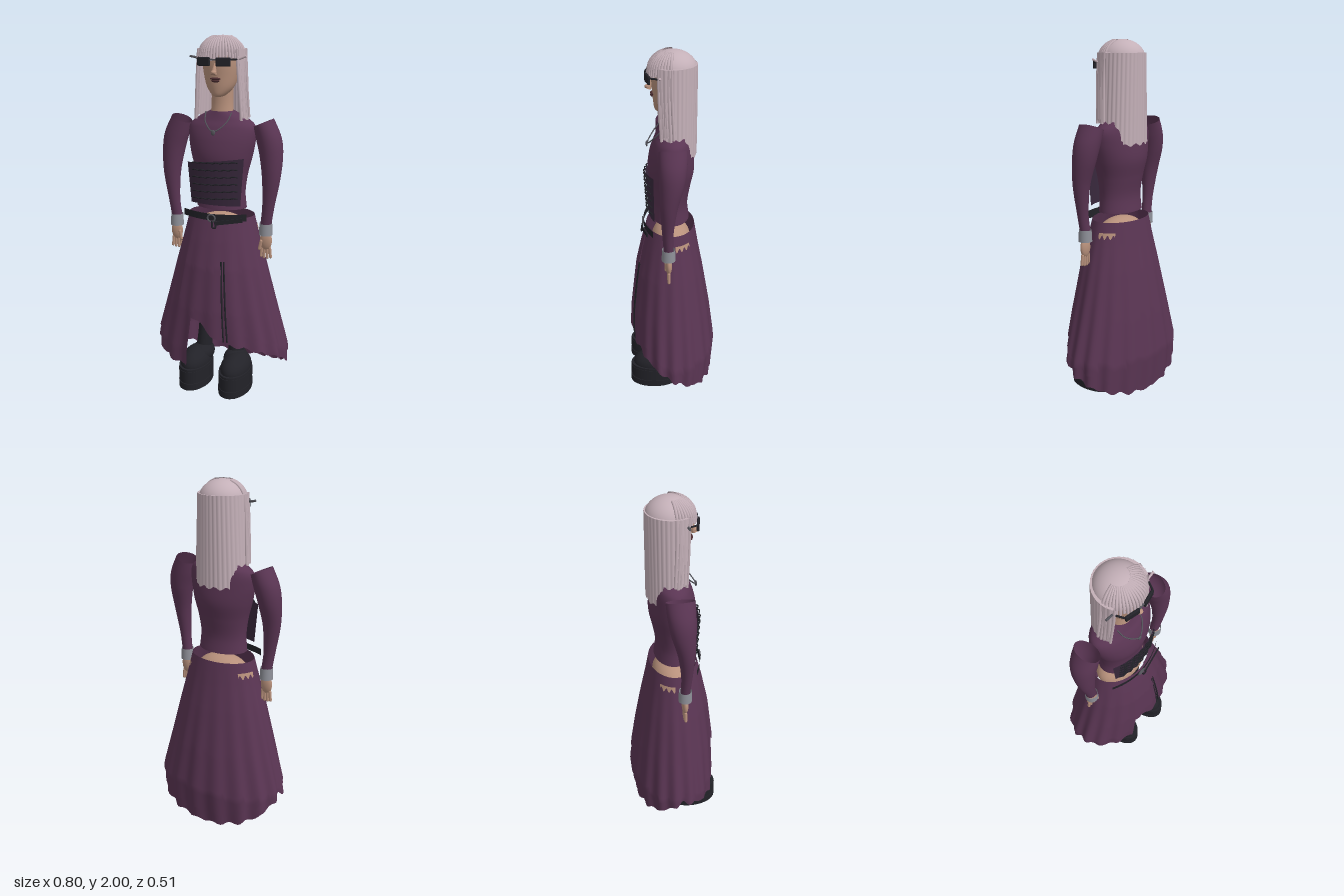
import * as THREE from 'three';
import { ParametricGeometry } from 'three/addons/geometries/ParametricGeometry.js';
import { RoundedBoxGeometry } from 'three/addons/geometries/RoundedBoxGeometry.js';

const paint = (color) => new THREE.MeshStandardMaterial({ color, side: THREE.DoubleSide });
const PURPLE = paint(0x5a3553), CORSET = paint(0x38283c), SKIN = paint(0xb8917c), HAIR = paint(0xc4b0b8);
const BLACK = paint(0x222228), CUFF = paint(0x8e9098), METAL = paint(0x55555c), LIP = paint(0x4a2c30);

// Interpolates a table of rows of equal length: smooth along the row index
function rowAt(rows, t) {
  const f = t * (rows.length - 1), i = Math.max(0, Math.min(Math.floor(f), rows.length - 2)), s = f - i;
  const a = rows[Math.max(i - 1, 0)], b = rows[i], c = rows[i + 1], d = rows[Math.min(i + 2, rows.length - 1)];
  return b.map((_, k) => b[k] + 0.5 * s * (c[k] - a[k] + s * (2 * a[k] - 5 * b[k] + 4 * c[k] - d[k] + s * (3 * (b[k] - c[k]) + d[k] - a[k]))));
}

// Interpolates a table linearly by its first column, which falls
function lookup(rows, y) {
  let i = 0;
  while (i < rows.length - 2 && y < rows[i + 1][0]) i++;
  const s = THREE.MathUtils.clamp((y - rows[i][0]) / (rows[i + 1][0] - rows[i][0]), 0, 1);
  return rows[i].map((v, k) => v + s * (rows[i + 1][k] - v));
}

export function createModel() {
  const root = new THREE.Group();

  function add(name, geometry, material, x = 0, y = 0, z = 0, parent = root) {
    const mesh = new THREE.Mesh(geometry, material);
    mesh.name = name;
    mesh.position.set(x, y, z);
    parent.add(mesh);
    return mesh;
  }
  const surface = (name, material, nu, nv, fn) =>
    add(name, new ParametricGeometry((u, v, p) => p.set(...fn(u, v)), nu, nv), material);
  const tube = (name, material, r, pts, n = 14) =>
    add(name, new THREE.TubeGeometry(new THREE.CatmullRomCurve3(pts.map((p) => new THREE.Vector3(...p))), n, r, 6), material);
  function ball(name, material, x, y, z, rx, ry, rz, parent) {
    const m = add(name, new THREE.SphereGeometry(1, 24, 16), material, x, y, z, parent);
    m.scale.set(rx, ry, rz);
  }
  // Rows from bottom to top: y, centre x, half width, front z, back z, optional rim tilt
  const loft = (name, material, rows, nu = 32, nv = 28) => surface(name, material, nu, nv, (u, v) => {
    const [y, cx, rx, zf, zb, tilt = 0] = rowAt(rows, v), a = u * Math.PI * 2;
    return [cx + rx * Math.sin(a), y + tilt * Math.sin(a), (zf + zb) / 2 + (zf - zb) / 2 * Math.cos(a)];
  });

  // Bodice
  loft('bodice', PURPLE, [
    [1.07, 0, 0.145, 0.105, -0.1], [1.16, 0, 0.138, 0.1, -0.09], [1.26, 0, 0.15, 0.112, -0.105],
    [1.36, 0, 0.175, 0.128, -0.125], [1.45, 0, 0.192, 0.118, -0.12], [1.52, 0, 0.19, 0.095, -0.11],
    [1.56, 0, 0.15, 0.075, -0.1], [1.605, 0, 0.065, 0.06, -0.065],
  ]);

  // Corset panel, with a slanting lace across each row
  const corsetZ = (x, y) => 0.128 + 0.05 * (y - 1.1) - 1.5 * x * x;
  surface('corsetPanel', CORSET, 20, 12, (u, v) => {
    const x = (u - 0.5) * (0.29 + 0.04 * v), y = 1.1 + v * (0.245 + 0.04 * (u - 0.5));
    return [x, y, corsetZ(x, y)];
  });
  for (let i = 0; i < 6; i++) {
    const pts = [];
    for (let k = 0; k <= 12; k++) {
      const x = -0.13 + k * 0.022, y = 1.135 + i * 0.04 + 0.06 * x + (k % 2) * 0.006;
      pts.push([x, y, corsetZ(x, y) + 0.004 + (k % 2) * 0.007]);
    }
    tube('corsetLace', BLACK, 0.0035, pts, 36);
  }

  // Head and neck
  loft('neck', SKIN, [[1.57, 0, 0.066, 0.055, -0.06], [1.65, 0, 0.06, 0.045, -0.055], [1.76, 0, 0.062, 0.045, -0.06]], 24, 8);
  loft('face', SKIN, [
    [1.68, 0, 0.005, 0.06, 0.05], [1.69, 0, 0.035, 0.083, 0], [1.73, 0, 0.072, 0.092, -0.05], [1.79, 0, 0.093, 0.097, -0.08],
    [1.86, 0, 0.104, 0.102, -0.1], [1.92, 0, 0.1, 0.095, -0.1], [1.98, 0, 0.05, 0.05, -0.06],
  ]);
  const nose = add('nose', new THREE.ConeGeometry(0.017, 0.075, 10), SKIN, 0, 1.838, 0.106);
  nose.rotation.x = -0.3;
  ball('noseTip', SKIN, 0, 1.813, 0.118, 0.015, 0.012, 0.018);
  ball('upperLip', LIP, 0, 1.779, 0.096, 0.03, 0.007, 0.012);
  ball('lowerLip', LIP, 0, 1.768, 0.094, 0.024, 0.008, 0.013);

  // Sunglasses
  for (const s of [-1, 1]) {
    const lens = add('lens', new RoundedBoxGeometry(0.078, 0.046, 0.014, 3, 0.006), BLACK, s * 0.055, 1.868, 0.122);
    lens.rotation.y = s * 0.22;
    tube('glassesArm', BLACK, 0.005, [[s * 0.092, 1.88, 0.113], [s * 0.11, 1.88, 0.07], [s * 0.113, 1.875, 0.0]]);
    // Small pin at each temple
    const pin = add('templePin', new THREE.CylinderGeometry(0.006, 0.006, 0.05, 8), s > 0 ? HAIR : METAL, s * 0.135, 1.887, 0.06);
    pin.rotation.z = s > 0 ? -1.2 : 1.4;
  }
  add('glassesBridge', new THREE.BoxGeometry(0.04, 0.008, 0.008), METAL, 0, 1.879, 0.128);

  // Hair: crown, fringe, long curtain and loose strands
  const crown = add('hairCrown', new THREE.SphereGeometry(1, 36, 16, 0, Math.PI * 2, 0, Math.PI * 0.5), HAIR, 0, 1.9, -0.01);
  crown.scale.set(0.122, 0.1, 0.125);
  for (let i = 0; i <= 22; i++) {
    const a = -1.45 + i * 0.132, s = Math.sin(a), c = Math.cos(a), pts = [];
    for (let k = 0; k < 5; k++) {
      const p = 0.4 + k * 0.28;
      pts.push([0.124 * s * Math.sin(p), 1.9 + 0.1 * Math.cos(p), -0.01 + 0.127 * c * Math.sin(p)]);
    }
    pts.push([0.127 * s, 1.878 + 0.008 * Math.sin(i * 2.3), -0.01 + 0.13 * c]);
    tube('fringeStrand', HAIR, 0.008, pts);
  }
  surface('hairCurtain', HAIR, 72, 20, (u, v) => {
    const a = 1.1 + u * (Math.PI * 2 - 2.2), back = THREE.MathUtils.smoothstep(-Math.cos(a), 0.45, 0.65);
    const low = 1.57 - 0.12 * back + 0.008 * Math.sin(u * 60), y = low + v * (1.93 - low);
    const wave = 1 + 0.012 * Math.sin(u * 150);
    return [(0.132 + 0.022 * (1.93 - y) / 0.45) * Math.sin(a) * wave, y, 0.136 * Math.cos(a) * wave];
  });
  // Closes the small step between curtain and crown
  surface('hairShelf', HAIR, 48, 1, (u, v) => {
    const a = 1.1 + u * (Math.PI * 2 - 2.2);
    return [(0.132 - 0.022 * v) * Math.sin(a), 1.93, (0.136 - 0.016 * v) * Math.cos(a)];
  });
  for (const s of [-1, 1]) for (let i = 0; i < 5; i++) {
    const z = 0.065 - i * 0.016, x = 0.112 + i * 0.005;
    tube('looseStrand', HAIR, 0.008, [[s * (x - 0.004), 1.93, z], [s * (x + 0.005), 1.8, z], [s * (x + 0.02), 1.56 + 0.012 * (i % 3), z - 0.01]]);
  }

  // Necklace
  tube('necklaceCord', METAL, 0.0035, [[-0.075, 1.6, 0.05], [-0.06, 1.55, 0.092], [0, 1.505, 0.128], [0.06, 1.55, 0.092], [0.075, 1.6, 0.05]], 28);
  ball('pendant', METAL, 0, 1.5, 0.13, 0.012, 0.016, 0.006);

  // Sleeves with open puffed tops, cuffs and hands
  for (const s of [-1, 1]) {
    loft('sleeve', PURPLE, [
      [0.99, s * 0.27, 0.031, 0.052, 0, 0], [1.1, s * 0.284, 0.034, 0.06, 0, 0], [1.25, s * 0.295, 0.05, 0.07, -0.02, 0],
      [1.38, s * 0.288, 0.064, 0.074, -0.055, 0], [1.47, s * 0.27, 0.068, 0.076, -0.07, s * 0.005], [1.55, s * 0.24, 0.051, 0.075, -0.075, s * 0.022],
    ], 28, 28);
    add('cuff', new THREE.CylinderGeometry(0.035, 0.038, 0.066, 20, 1, true), CUFF, s * 0.27, 0.967, 0.026);
    const hand = new THREE.Group();
    hand.name = 'hand';
    hand.position.set(s * 0.272, 0.9, 0.025);
    root.add(hand);
    ball('palm', SKIN, 0, 0, 0, 0.035, 0.055, 0.018, hand);
    for (let i = 0; i < 4; i++) {
      const finger = add('finger', new THREE.CapsuleGeometry(0.0085, 0.065 - 0.01 * Math.abs(i - 1.5), 4, 8), SKIN, (i - 1.5) * 0.017, -0.068, 0, hand);
      finger.rotation.z = (i - 1.5) * 0.07;
    }
    const thumb = add('thumb', new THREE.CapsuleGeometry(0.009, 0.045, 4, 8), SKIN, -s * 0.028, -0.025, 0.014, hand);
    thumb.rotation.z = -s * 0.2;
  }

  // Skirt cross-sections: y, half width, front depth, back depth
  const skirtRows = [[1.03, 0.19, 0.135, 0.13], [0.9, 0.222, 0.168, 0.152], [0.75, 0.262, 0.2, 0.18], [0.5, 0.325, 0.228, 0.22], [0.25, 0.39, 0.24, 0.25], [0.05, 0.4, 0.24, 0.235]];
  function skirtPoint(a, y, offset) {
    const [, rx, zf, zb] = lookup(skirtRows, y), c = Math.cos(a);
    const pleat = 1 + 0.03 * (1.03 - y) * Math.sin(a * 17) + offset;
    return [rx * Math.sin(a) * pleat, y, (c > 0 ? zf : zb) * c * pleat];
  }
  // Hem falls from the front to the back and differs a little on each side
  function hem(a) {
    const c = Math.cos(a), k = 0.5 + 0.5 * Math.sin(a);
    const left = 0.18 + (c > 0 ? 0.15 : 0.13) * c, right = 0.24 + (c > 0 ? -0.1 : 0.19) * c;
    return THREE.MathUtils.lerp(right, left, THREE.MathUtils.smoothstep(k, 0.3, 0.7)) + 0.008 * Math.sin(a * 23);
  }
  const skirtLayer = (name, lift, offset, from, to) => surface(name, PURPLE, 120, 24, (u, v) => {
    const open = 0.1 * (1 - v), a = from + open + u * (to - from - 2 * open), low = hem(a) + lift;
    return skirtPoint(a, low + v * (1.03 - low), offset * (1 - v));
  });
  skirtLayer('skirt', 0, 0, 0.24, Math.PI * 2 - 0.24);
  skirtLayer('skirtOverlay', 0.07, 0.02, 0.24, Math.PI * 2 - 0.8);
  // Wrapped front panel with a diagonal hem
  surface('wrapPanel', PURPLE, 40, 24, (u, v) => {
    const a = -0.62 + u * 0.89, low = 0.55 - 0.22 * u + 0.012 * Math.sin(u * 14);
    return skirtPoint(a, low + v * (1.03 - low), 0.03);
  });
  // Dark trims along the slit
  for (const a of [0.27, 0.33]) tube('slitTrim', BLACK, 0.005, [0.8, 0.65, 0.5, 0.34].map((y) => skirtPoint(a, y, 0.02)));
  // Torn patches showing the hip
  for (const s of [-1, 1]) surface('tornPatch', SKIN, 16, 3, (u, v) => {
    const a = s * (1.68 + 0.6 * u), y = 0.975 - (1 - v) * (0.024 + 0.012 * Math.sin(u * 19));
    return skirtPoint(a, y, 0.012);
  });
  ball('hips', SKIN, 0, 0.93, 0, 0.165, 0.1, 0.11);

  // Belt, buckle and hanging ends
  surface('belt', BLACK, 28, 2, (u, v) => {
    const x = (u - 0.5) * 0.37;
    return [x, 1.02 + 0.038 * v + 0.02 * Math.abs(x), 0.155 - 1.4 * x * x];
  });
  const buckle = add('buckle', new THREE.TorusGeometry(0.022, 0.005, 8, 20), METAL, 0, 1.035, 0.16);
  buckle.scale.y = 0.9;
  const strap = add('beltEnd', new THREE.BoxGeometry(0.15, 0.022, 0.006), BLACK, 0.1, 1.022, 0.152);
  strap.rotation.set(0, 0.2, 0.16);
  tube('beltCord', BLACK, 0.005, [[0.02, 1.02, 0.162], [0.028, 0.985, 0.168], [0.01, 0.985, 0.168], [0.005, 1.02, 0.162]]);

  // Legs and platform boots
  for (const s of [-1, 1]) {
    loft('leg', BLACK, [[0.15, s * 0.105, 0.05, 0.09, -0.03], [0.35, s * 0.095, 0.038, 0.07, -0.02], [0.6, s * 0.09, 0.044, 0.06, -0.04], [0.92, s * 0.085, 0.065, 0.07, -0.07]], 20, 14);
    ball('ankle', BLACK, s * 0.105, 0.165, 0.05, 0.068, 0.058, 0.09);
    ball('bootUpper', BLACK, s * 0.125, 0.13, 0.095, 0.083, 0.085, 0.138);
    for (const [y, h, k] of [[0.02, 0.04, 1], [0.05, 0.02, 0.965], [0.0875, 0.055, 0.99], [0.122, 0.014, 0.97]]) {
      const sole = add('platformSole', new THREE.CylinderGeometry(k, k, h, 36), BLACK, s * 0.125, y, 0.102);
      sole.scale.set(0.091, 1, 0.15);
    }
  }
  return root;
}
